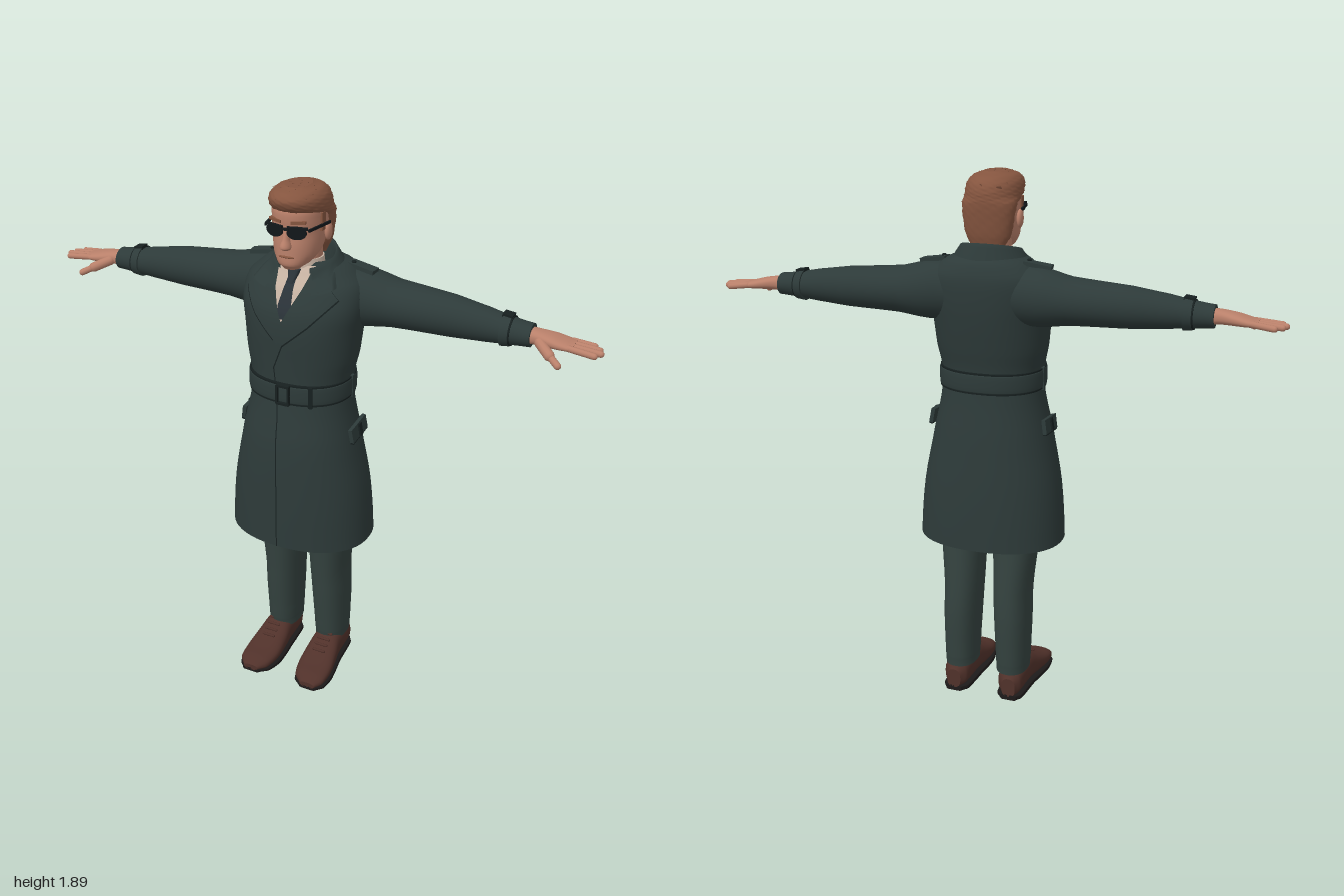
import * as THREE from 'three';
import { mergeVertices } from 'three/addons/utils/BufferGeometryUtils.js';

const mat = (name, color, side = THREE.FrontSide) => {
  const m = new THREE.MeshStandardMaterial({ color, side });
  m.name = name;
  return m;
};

// Smoothly interpolated rows between key sections
function denseRows(keys, steps) {
  const rows = [];
  const at = i => keys[Math.max(0, Math.min(keys.length - 1, i))];
  for (let i = 0; i < keys.length - 1; i++) {
    for (let k = 0; k < steps; k++) {
      const f = k / steps;
      rows.push(keys[i].map((_, c) => {
        const [p, q, r, s] = [at(i - 1)[c], at(i)[c], at(i + 1)[c], at(i + 2)[c]];
        if (c === 0) return q + (r - q) * f;
        return 0.5 * (2 * q + (r - p) * f + (2 * p - 5 * q + 4 * r - s) * f * f + (3 * q - p - 3 * r + s) * f ** 3);
      }));
    }
  }
  rows.push(keys[keys.length - 1]);
  return rows;
}

// Loft of superellipse sections [t, u0, u1, v0, v1] along an axis, t increasing
function loft(keys, axis = 'y', n = 2, { seg = 32, steps = 4, caps = true, bump = null } = {}) {
  const rows = denseRows(keys, steps), pos = [], idx = [];
  const place = (t, u, v) => axis === 'y' ? pos.push(u, t, v) : axis === 'x' ? pos.push(t, v, u) : pos.push(v, u, t);
  const pw = c => Math.sign(c) * Math.abs(c) ** (2 / n);
  const ring = ([t, u0, u1, v0, v1], j) => {
    for (let i = 0; i < seg; i++) {
      const a = i / seg * Math.PI * 2, b = bump ? bump(a, j) : 1;
      place(t, (u0 + u1) / 2 + (u1 - u0) / 2 * pw(Math.cos(a)) * b, (v0 + v1) / 2 + (v1 - v0) / 2 * pw(Math.sin(a)) * b);
    }
  };
  rows.forEach(ring);
  for (let j = 0; j < rows.length - 1; j++) {
    for (let i = 0; i < seg; i++) {
      const a = j * seg + i, b = j * seg + (i + 1) % seg;
      idx.push(a, a + seg, b + seg, a, b + seg, b);
    }
  }
  if (caps) [0, rows.length - 1].forEach(j => {
    const start = pos.length / 3, r = rows[j];
    ring(r, j);
    place(r[0], (r[1] + r[2]) / 2, (r[3] + r[4]) / 2);
    for (let i = 0; i < seg; i++) {
      const a = start + i, b = start + (i + 1) % seg, c = start + seg;
      j ? idx.push(c, b, a) : idx.push(c, a, b);
    }
  });
  return finish(pos, idx);
}

function finish(pos, idx) {
  const g = new THREE.BufferGeometry();
  g.setAttribute('position', new THREE.Float32BufferAttribute(pos, 3));
  g.setIndex(idx);
  g.computeVertexNormals();
  return g;
}

// Sheet from a rule (s, t) -> [x, y, z]
function sheet(fn, cols, rows) {
  const pos = [], idx = [];
  for (let j = 0; j <= rows; j++) for (let i = 0; i <= cols; i++) pos.push(...fn(i / cols, j / rows));
  for (let j = 0; j < rows; j++) for (let i = 0; i < cols; i++) {
    const a = j * (cols + 1) + i, b = a + cols + 1;
    idx.push(a, b, b + 1, a, b + 1, a + 1);
  }
  return finish(pos, idx);
}

// Rounded limb from p to q
function limb(p, q, r) {
  const a = new THREE.Vector3(...p), d = new THREE.Vector3(...q).sub(a);
  const g = new THREE.CapsuleGeometry(r, d.length(), 5, 12);
  g.applyQuaternion(new THREE.Quaternion().setFromUnitVectors(new THREE.Vector3(0, 1, 0), d.clone().normalize()));
  return g.translate(a.x + d.x / 2, a.y + d.y / 2, a.z + d.z / 2);
}

const box = (w, h, d, x, y, z, rx = 0, ry = 0, rz = 0) =>
  new THREE.BoxGeometry(w, h, d).rotateX(rx).rotateY(ry).rotateZ(rz).translate(x, y, z);
const ball = (w, h, d, x, y, z) => new THREE.SphereGeometry(1, 16, 12).scale(w, h, d).translate(x, y, z);

function mirrored(geo) {
  const g = geo.index ? geo.clone() : mergeVertices(geo);
  g.scale(-1, 1, 1);
  const ix = g.index.array;
  for (let i = 0; i < ix.length; i += 3) [ix[i + 1], ix[i + 2]] = [ix[i + 2], ix[i + 1]];
  return g;
}

export function createModel() {
  const root = new THREE.Group();
  root.name = 'manInTrenchCoat';
  const D = THREE.DoubleSide;
  const coat = mat('coat', 0x2d3a39, D), trim = mat('coatTrim', 0x172020, D), trousers = mat('trousers', 0x34423f);
  const skin = mat('skin', 0xb9806a), hair = mat('hair', 0x85553f), leather = mat('shoeLeather', 0x50312a);
  const sole = mat('shoeSole', 0x1d1a1a), shirt = mat('shirt', 0xc4b0a0, D), tie = mat('tie', 0x2a3238, D);
  const dark = mat('darkGlass', 0x12171a);
  const add = (name, g, m) => {
    const mesh = new THREE.Mesh(g, m);
    mesh.name = name;
    root.add(mesh);
  };
  const pair = (name, g, m) => {
    add(name + 'Left', g, m);
    add(name + 'Right', mirrored(g), m);
  };
  const sym = rows => rows.map(([y, h, b, f]) => [y, -h, h, b, f]);

  // Coat body: flared skirt, waist, chest and shoulders
  const bodyKeys = sym([[0.6, 0.26, -0.205, 0.19], [0.8, 0.245, -0.195, 0.188], [1.0, 0.207, -0.175, 0.178],
    [1.16, 0.176, -0.153, 0.148], [1.225, 0.178, -0.152, 0.145], [1.3, 0.193, -0.165, 0.147], [1.4, 0.203, -0.18, 0.15],
    [1.48, 0.215, -0.187, 0.138], [1.55, 0.205, -0.185, 0.1], [1.6, 0.15, -0.165, 0.055], [1.625, 0.09, -0.13, 0.04]]);
  const N = 2.25, bodyRows = denseRows(bodyKeys, 4);
  add('coatBody', loft(bodyKeys, 'y', N, { seg: 56, caps: false }), coat);

  // Front surface of the coat at (x, y), for draping details on it
  function front(x, y) {
    let k = bodyRows.findIndex(r => r[0] >= y);
    if (k < 1) k = k < 0 ? bodyRows.length - 1 : 1;
    const A = bodyRows[k - 1], B = bodyRows[k], f = Math.max(0, Math.min(1, (y - A[0]) / (B[0] - A[0])));
    const [, , h, b, z] = A.map((v, c) => v + (B[c] - v) * f);
    return (b + z) / 2 + (z - b) / 2 * (1 - Math.min(1, Math.abs(x / h)) ** N) ** (1 / N);
  }
  const along = (line, t) => {
    const i = Math.min(line.length - 2, Math.floor(t * (line.length - 1))), f = t * (line.length - 1) - i;
    return line[i].map((v, c) => v + (line[i + 1][c] - v) * f);
  };
  const patch = (left, right, off) => sheet((s, t) => {
    const a = along(left, t), b = along(right, t), x = a[0] + (b[0] - a[0]) * s, y = a[1] + (b[1] - a[1]) * s;
    return [x, y, front(x, y) + off];
  }, 8, 24);
  const flip = line => line.map(([x, y]) => [-x, y]);
  const shift = (line, dx, dy) => line.map(([x, y]) => [x + dx, y + dy]);

  // Shirt, tie and lapels
  const shirtEdge = [[-0.065, 1.615], [-0.055, 1.55], [-0.01, 1.45]];
  add('shirtFront', patch(shirtEdge, flip(shirtEdge), 0.004), shirt);
  add('shirtCollar', loft(sym([[1.56, 0.08, -0.08, 0.062], [1.635, 0.068, -0.07, 0.052]])), shirt);
  const tieEdge = [[-0.014, 1.6], [-0.016, 1.56], [-0.024, 1.5], [-0.02, 1.46]];
  add('tieBlade', patch(tieEdge, flip(tieEdge), 0.008), tie);
  add('tieKnot', loft(sym([[1.565, 0.012, 0.06, 0.096], [1.605, 0.021, 0.04, 0.075]]), 'y', 3), tie);
  const outL = [[0.12, 1.575], [0.165, 1.53], [0.085, 1.445], [0.0, 1.37], [-0.035, 1.28]];
  const inL = [[0.06, 1.6], [0.048, 1.555], [0.022, 1.5], [-0.018, 1.42], [-0.04, 1.28]];
  const outR = [[-0.12, 1.575], [-0.165, 1.53], [-0.11, 1.46], [-0.03, 1.385]];
  const inR = [[-0.06, 1.6], [-0.048, 1.555], [-0.022, 1.49], [0.0, 1.44]];
  add('lapelRight', patch(outR, inR, 0.009), coat);
  add('lapelLeft', patch(inL, outL, 0.013), coat);
  add('lapelEdgeRight', patch(shift(outR, -0.003, -0.004), outR, 0.007), trim);
  add('lapelEdgeLeft', patch(outL, shift(outL, 0.003, -0.004), 0.01), trim);
  const seam = [[-0.038, 1.28], [-0.02, 1.1], [-0.012, 0.8], [-0.012, 0.6]];
  add('frontSeam', patch(seam, shift(seam, 0.004, 0), 0.002), trim);

  // Turned-down coat collar, open at the throat
  const collarProfile = [[0.088, 0.095, 1.58], [0.094, 0.1, 1.655], [0.102, 0.107, 1.663], [0.125, 0.12, 1.63], [0.15, 0.135, 1.59]];
  add('coatCollar', sheet((s, t) => {
    const a = (s - 0.5) * 2 * 2.55, [rx, rz, y0] = along(collarProfile, t);
    const w = (1 - Math.cos(a)) / 2, x = rx * Math.sin(a), y = y0 - 0.05 * w;
    const z = -0.025 - rz * Math.cos(a);
    return [x, y, z > 0 ? Math.max(z, front(x, y) + 0.014 * t) : z];
  }, 40, 10), coat);

  // Belt with buckle and loops
  add('belt', loft(sym([[1.16, 0.182, -0.16, 0.155], [1.165, 0.185, -0.163, 0.158], [1.19, 0.186, -0.164, 0.159],
    [1.22, 0.185, -0.163, 0.158], [1.225, 0.182, -0.16, 0.155]]), 'y', N, { seg: 56, steps: 2 }), coat);
  for (const y of [1.159, 1.226]) add('beltEdge', loft(sym([[y - 0.003, 0.183, -0.161, 0.156], [y + 0.003, 0.183, -0.161, 0.156]]), 'y', N, { seg: 56 }), trim);
  for (const y of [1.16, 1.225]) add('buckleBar', box(0.046, 0.008, 0.014, 0.005, y, 0.162), trim);
  for (const x of [-0.016, 0.026]) add('buckleSide', box(0.007, 0.07, 0.014, x, 1.192, 0.162), trim);
  add('beltLoopFront', box(0.014, 0.076, 0.012, 0.098, 1.192, 0.142, 0, 0.3), trim);
  pair('beltLoopSide', box(0.01, 0.08, 0.016, 0.183, 1.192, -0.01), coat);

  // Sleeves, cuff straps, shoulder straps and pocket flaps
  pair('sleeve', loft([[0.1, -0.165, 0.03, 1.39, 1.59], [0.2, -0.184, 0.012, 1.392, 1.588], [0.3, -0.178, 0, 1.405, 1.565],
    [0.5, -0.157, -0.015, 1.41, 1.548], [0.62, -0.137, -0.024, 1.418, 1.53], [0.7, -0.125, -0.029, 1.425, 1.515],
    [0.768, -0.12, -0.032, 1.43, 1.506]], 'x'), coat);
  pair('cuffStrap', loft([[0.672, -0.136, -0.021, 1.416, 1.525], [0.7, -0.131, -0.024, 1.419, 1.521]], 'x'), coat);
  pair('cuffBuckle', box(0.034, 0.012, 0.036, 0.686, 1.521, -0.078, 0, 0, -0.13), trim);
  pair('cuffEdge', loft([[0.7, -0.129, -0.026, 1.421, 1.519], [0.705, -0.129, -0.026, 1.421, 1.519]], 'x'), trim);
  pair('shoulderStrap', box(0.095, 0.014, 0.042, 0.182, 1.594, -0.078, 0, -0.1, -0.15), coat);
  pair('shoulderButton', ball(0.008, 0.006, 0.008, 0.15, 1.607, -0.075), trim);
  pair('pocketFlap', box(0.014, 0.05, 0.12, 0.207, 1.03, -0.01, 0.08, 0, 0.16), coat);
  pair('pocketEdge', box(0.012, 0.006, 0.12, 0.211, 1.004, -0.012, 0.08, 0, 0.16), trim);
  pair('pocketTab', box(0.018, 0.045, 0.02, 0.211, 1.03, -0.01, 0, 0, 0.16), trim);

  // Hands: palm, four fingers and thumb
  pair('palm', loft([[0.74, -0.105, -0.045, 1.44, 1.495], [0.79, -0.108, -0.04, 1.445, 1.492], [0.84, -0.12, -0.032, 1.445, 1.484],
    [0.88, -0.122, -0.034, 1.445, 1.474], [0.905, -0.118, -0.038, 1.448, 1.468]], 'x', 2.4), skin);
  [[-0.112, 0.958], [-0.091, 0.98], [-0.069, 0.989], [-0.047, 0.975]].forEach(([z, x]) =>
    pair('finger', limb([0.89, 1.459, z], [x, 1.451, z + (z + 0.08) * 0.15], 0.0105), skin));
  pair('thumbBase', limb([0.8, 1.462, -0.045], [0.845, 1.442, -0.005], 0.017), skin);
  pair('thumbTip', limb([0.845, 1.442, -0.005], [0.88, 1.425, 0.02], 0.0115), skin);

  // Trousers
  pair('trouserLeg', loft([[0.1, 0.042, 0.155, -0.143, 0.018], [0.14, 0.04, 0.157, -0.147, 0.024], [0.3, 0.033, 0.16, -0.155, 0.04],
    [0.42, 0.027, 0.16, -0.15, 0.05], [0.6, 0.018, 0.175, -0.135, 0.068], [0.85, 0.0, 0.17, -0.13, 0.09]], 'y', 2.3), trousers);

  // Shoes with dark soles and laces
  const shoe = [[-0.145, 0.012, 0.085, 0.08, 0.132], [-0.12, 0.012, 0.115, 0.06, 0.148], [-0.05, 0.012, 0.13, 0.053, 0.154],
    [0.0, 0.012, 0.13, 0.05, 0.158], [0.05, 0.012, 0.105, 0.045, 0.167], [0.12, 0.012, 0.074, 0.044, 0.176],
    [0.18, 0.012, 0.058, 0.058, 0.172], [0.208, 0.013, 0.036, 0.09, 0.148]];
  pair('shoeUpper', loft(shoe, 'z', 2.5), leather);
  pair('shoeSole', loft(shoe.map(([z, , , a, b]) => [z, z > 0.16 ? 0.006 : 0, 0.02, a - 0.003, b + 0.003]), 'z', 6), sole);
  for (let i = 0; i < 4; i++) pair('shoeLace', limb([0.085, 0.13 - i * 0.012, 0.015 + i * 0.022], [0.128, 0.13 - i * 0.012, 0.015 + i * 0.022], 0.005), leather);

  // Neck, head and face
  add('neck', loft(sym([[1.55, 0.064, -0.07, 0.046], [1.6, 0.062, -0.068, 0.044], [1.68, 0.064, -0.07, 0.06]])), skin);
  add('head', loft(sym([[1.617, 0.028, 0.045, 0.105], [1.635, 0.052, -0.01, 0.12], [1.665, 0.072, -0.05, 0.12], [1.7, 0.08, -0.075, 0.119],
    [1.74, 0.084, -0.09, 0.115], [1.78, 0.086, -0.097, 0.121], [1.82, 0.085, -0.097, 0.117], [1.86, 0.06, -0.06, 0.08]]), 'y', 2.2), skin);
  add('nose', loft(sym([[1.69, 0.014, 0.1, 0.135], [1.699, 0.019, 0.1, 0.147], [1.725, 0.012, 0.1, 0.136], [1.765, 0.009, 0.1, 0.124]]), 'y', 2, { seg: 16 }), skin);
  add('mouth', ball(0.028, 0.004, 0.006, 0, 1.664, 0.119), hair);
  pair('ear', ball(0.011, 0.031, 0.02, 0.092, 1.73, 0.0), skin);
  pair('eyebrow', box(0.048, 0.009, 0.012, 0.04, 1.781, 0.112, 0, 0.28, 0.06), hair);

  // Sunglasses
  pair('lens', new THREE.CylinderGeometry(1, 1, 0.008, 24).rotateX(Math.PI / 2).scale(0.032, 0.021, 1)
    .rotateY(0.24).translate(0.039, 1.75, 0.122), dark);
  pair('browBar', box(0.068, 0.008, 0.01, 0.041, 1.766, 0.122, 0, 0.24), dark);
  add('bridge', box(0.03, 0.007, 0.01, 0, 1.76, 0.129), dark);
  pair('temple', box(0.006, 0.009, 0.115, 0.087, 1.76, 0.056, 0, -0.18), dark);

  // Short tousled hair
  const rough = (a, j) => 1 + 0.014 * Math.sin(a * 9 + j * 1.9) + 0.01 * Math.sin(a * 14 - j * 2.7);
  add('hairCap', loft(sym([[1.635, 0.055, -0.084, -0.04], [1.68, 0.078, -0.096, -0.012], [1.74, 0.088, -0.105, 0.0], [1.785, 0.093, -0.11, 0.03],
    [1.805, 0.094, -0.11, 0.105], [1.825, 0.094, -0.108, 0.132], [1.85, 0.089, -0.097, 0.14], [1.87, 0.072, -0.072, 0.122], [1.882, 0.04, -0.03, 0.085]]),
    'y', 2.15, { seg: 48, bump: rough }), hair);
  pair('sideburn', box(0.008, 0.06, 0.024, 0.086, 1.77, 0.03), hair);
  for (let i = 0; i < 44; i++) {
    const a = i * 2.4, r = Math.sqrt((i + 0.5) / 44), x = 0.078 * r * Math.cos(a), z = 0.02 + 0.105 * r * Math.sin(a);
    const tuft = new THREE.ConeGeometry(0.012, 0.05, 5).rotateX(1.15).rotateY(Math.sin(i * 3.1) * 0.6 + x * 6);
    add('hairTuft', tuft.translate(x, 1.876 - 0.034 * r ** 3, z), hair);
  }
  return root;
}
